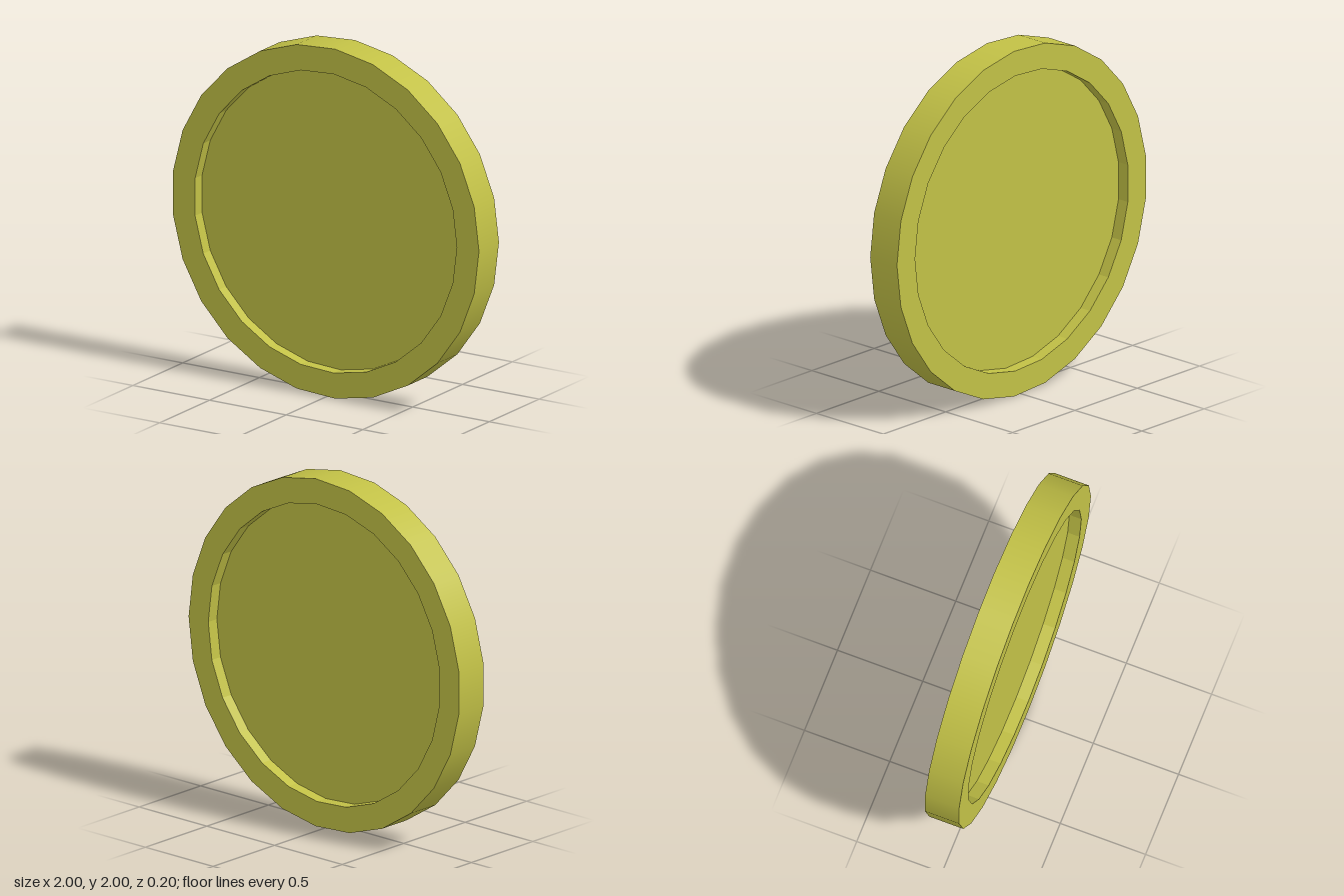
import * as THREE from 'three';

const SIDES = 25;
const OUTER = 1.002, INNER = 0.857; // rim radii
const RIM = 0.1, DISC = 0.03; // half thicknesses

const smooth = new THREE.MeshStandardMaterial({ color: 0xc2c146 });
const faceted = new THREE.MeshStandardMaterial({ color: 0xc2c146, flatShading: true });

// One surface of revolution about z, from (radius, z) to (radius, z)
function band(name, from, to, material = faceted) {
  const points = [new THREE.Vector2(...from), new THREE.Vector2(...to)];
  const geometry = new THREE.LatheGeometry(points, SIDES, Math.PI / 2);
  geometry.rotateX(Math.PI / 2);
  const mesh = new THREE.Mesh(geometry, material);
  mesh.name = name;
  return mesh;
}

export function createModel() {
  const model = new THREE.Group();
  model.name = 'coin';

  // Raised rim: smooth outer edge, flat faces, faceted recess walls
  const rim = new THREE.Group();
  rim.name = 'rim';
  rim.add(
    band('outerEdge', [OUTER, -RIM], [OUTER, RIM], smooth),
    band('frontRimFace', [OUTER, RIM], [INNER, RIM]),
    band('backRimFace', [INNER, -RIM], [OUTER, -RIM]),
    band('frontRecessWall', [INNER, RIM], [INNER, DISC]),
    band('backRecessWall', [INNER, -DISC], [INNER, -RIM]),
  );

  // Sunken disc inside the rim
  const disc = new THREE.Group();
  disc.name = 'disc';
  disc.add(
    band('frontDiscFace', [INNER, DISC], [0, DISC]),
    band('backDiscFace', [0, -DISC], [INNER, -DISC]),
  );

  model.add(rim, disc);
  // The odd side count shifts the bounds slightly off the axis
  model.position.set(-0.004, 1, 0);
  return model;
}
